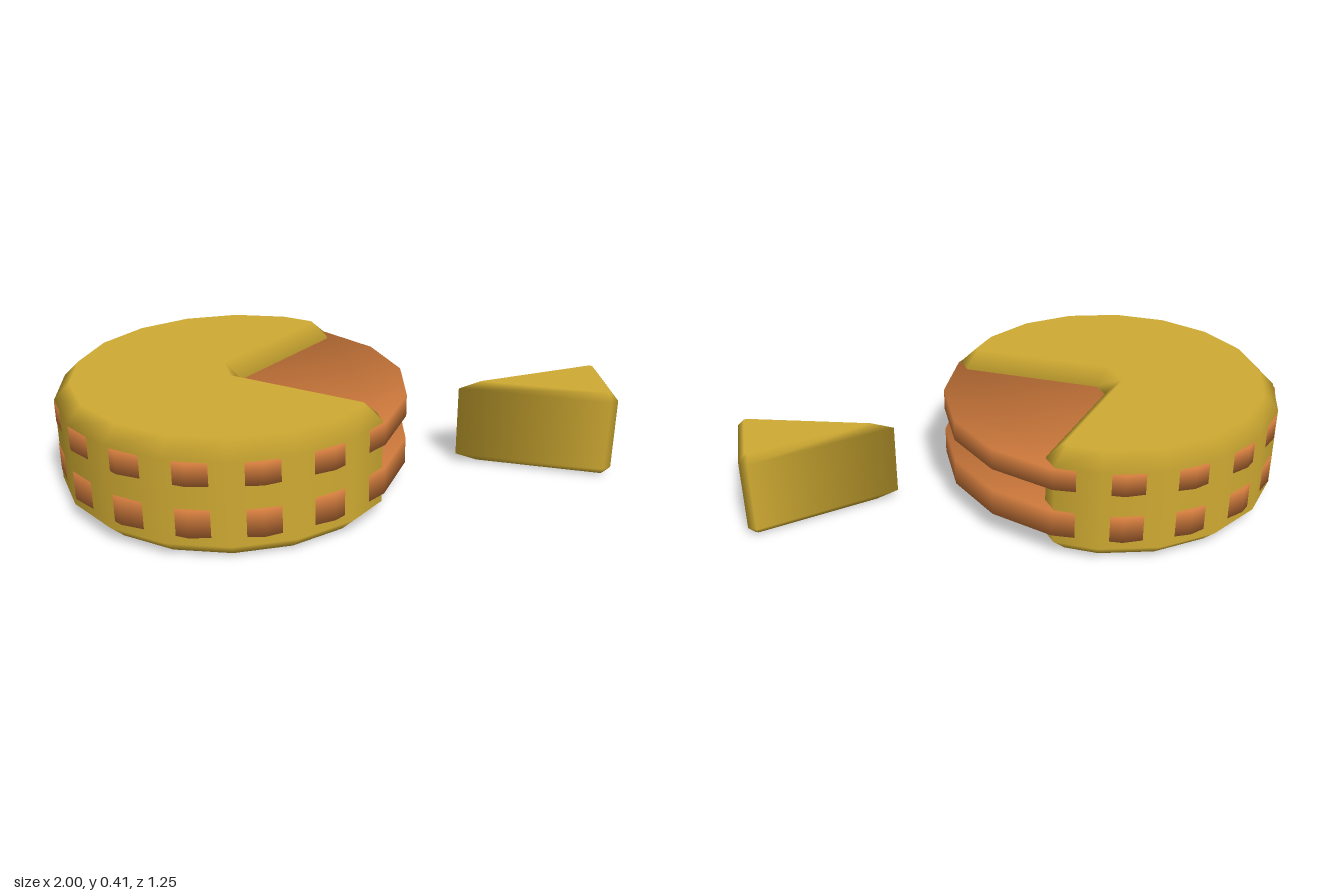
import * as THREE from 'three';

const yellow = new THREE.MeshStandardMaterial({ color: 0xcfaa32 });
const orange = new THREE.MeshStandardMaterial({ color: 0xcf7a3c });

// Per-corner data of a closed outline (x, z): mitre inset vector and length-weighted outward normal
function cornerInfo(outline) {
  const n = outline.length;
  return outline.map((p, i) => {
    const a = p.clone().sub(outline[(i + n - 1) % n]);
    const b = outline[(i + 1) % n].clone().sub(p);
    const outA = new THREE.Vector2(a.y, -a.x), outB = new THREE.Vector2(b.y, -b.x);
    const normal = outA.clone().add(outB).normalize();
    outA.normalize();
    outB.normalize();
    const inset = outA.clone().add(outB).multiplyScalar(-1 / (1 + outA.dot(outB)));
    return { inset, normal };
  });
}

// Upright prism from an outline; with a chamfer the caps stay flat-shaded,
// without one the normals roll over the rim
function prism(name, outline, y0, y1, chamfer, rise, material) {
  const n = outline.length, corners = cornerInfo(outline);
  const rings = chamfer > 0
    ? [[y0, chamfer, -1, 0], [y0 + rise, 0, 0, 1], [y1 - rise, 0, 0, 1], [y1, chamfer, 1, 0]]
    : [[y0, 0, -1, 1], [y1, 0, 1, 1]];
  const positions = [], normals = [], index = [];
  for (const [y, d, up, out] of rings) {
    corners.forEach(({ inset, normal }, i) => {
      positions.push(outline[i].x + inset.x * d, y, outline[i].y + inset.y * d);
      const v = new THREE.Vector3(normal.x * out, up, normal.y * out).normalize();
      normals.push(v.x, v.y, v.z);
    });
  }
  // Walls
  for (let r = 0; r < rings.length - 1; r++) {
    for (let i = 0; i < n; i++) {
      const a = r * n + i, b = r * n + (i + 1) % n;
      index.push(a, a + n, b, b, a + n, b + n);
    }
  }
  // Caps
  const capOutline = outline.map((p, i) => p.clone().addScaledVector(corners[i].inset, rings[0][1]));
  const top = (rings.length - 1) * n;
  for (const [a, b, c] of THREE.ShapeUtils.triangulateShape(capOutline, [])) {
    index.push(a, b, c, top + a, top + c, top + b);
  }
  const geometry = new THREE.BufferGeometry();
  geometry.setAttribute('position', new THREE.Float32BufferAttribute(positions, 3));
  geometry.setAttribute('normal', new THREE.Float32BufferAttribute(normals, 3));
  geometry.setIndex(index);
  const mesh = new THREE.Mesh(geometry, material);
  mesh.name = name;
  return mesh;
}

const CENTRE_X = -0.377;

// Points on a circle around the wheel's axis, angles in degrees
function arc(radius, start, end, step) {
  const points = [];
  for (let deg = start; deg <= end + 1e-6; deg += step) {
    const t = THREE.MathUtils.degToRad(deg);
    points.push(new THREE.Vector2(CENTRE_X + radius * Math.cos(t), radius * Math.sin(t)));
  }
  return points;
}

export function createModel() {
  const group = new THREE.Group();
  group.name = 'cutWheel';

  // Eighteen-sided wheel with a notch opening towards +x
  const notch = [[0.055, 0.437], [0.055, 0.368], [-0.34, 0.035]];
  const wheelOutline = [
    ...arc(0.621, 60, 300, 20),
    ...notch.map(([x, z]) => new THREE.Vector2(x, -z)),
    ...notch.slice().reverse().map(([x, z]) => new THREE.Vector2(x, z)),
  ];
  group.add(prism('wheel', wheelOutline, 0, 0.413, 0.055, 0.056, yellow));

  // Two filling discs, full circles that show through the notch and the sides
  const discOutline = arc(0.623, 0, 337.5, 22.5);
  group.add(prism('lowerFilling', discOutline, 0.087, 0.186, 0, 0, orange));
  group.add(prism('upperFilling', discOutline, 0.271, 0.352, 0, 0, orange));

  // Loose slice beside the wheel
  const sliceOutline = [[0.435, 0.12], [0.972, 0.065], [0.998, 0.088], [0.95, 0.358], [0.918, 0.37]]
    .map(([x, z]) => new THREE.Vector2(x, z));
  group.add(prism('slice', sliceOutline, 0.008, 0.33, 0.023, 0.028, yellow));

  return group;
}
